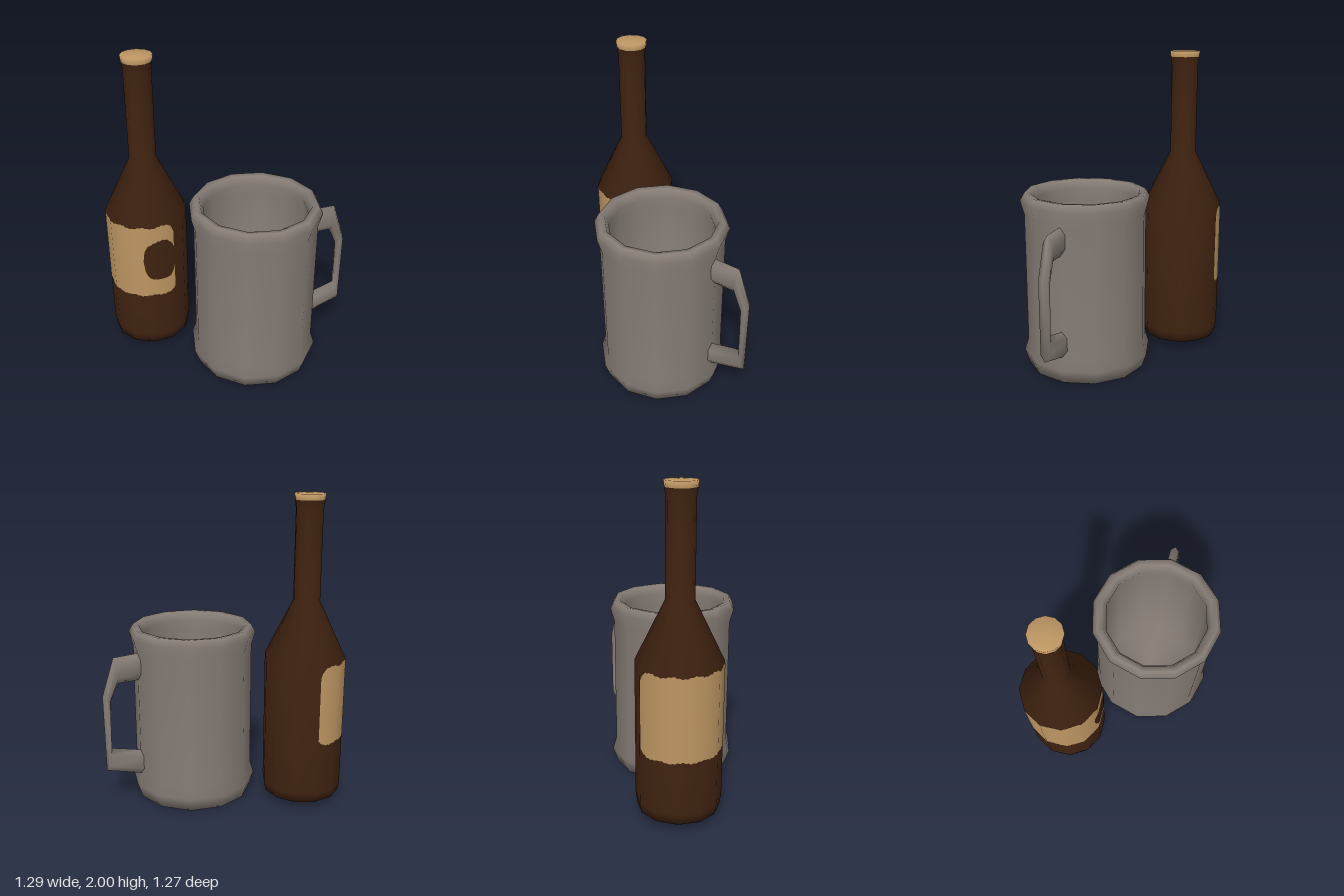
import * as THREE from 'three';

const SIDES = 12;
const BOTTLE_R = 0.26;
const rad = THREE.MathUtils.degToRad;

const lathe = (points) =>
  new THREE.LatheGeometry(points.map(([r, y]) => new THREE.Vector2(r, y)), SIDES);

function addMesh(parent, name, geometry, material) {
  const mesh = new THREE.Mesh(geometry, material);
  mesh.name = name;
  parent.add(mesh);
  return mesh;
}

function indexed(positions, index) {
  const g = new THREE.BufferGeometry();
  g.setAttribute('position', new THREE.Float32BufferAttribute(positions, 3));
  g.setIndex(index);
  return g;
}

// Thin strip wrapped on the twelve-sided bottle wall between two angles (degrees)
function wrap(a0, a1, bottom, top, lift) {
  const pos = [], nor = [], idx = [];
  for (let a = a0, i = 0; a <= a1; a += 2, i += 2) {
    const r = BOTTLE_R * Math.cos(rad(15)) / Math.cos(rad((a % 30) - 15)) + lift;
    const c = Math.cos(rad(a)), s = Math.sin(rad(a));
    for (const y of [bottom(a), top(a)]) {
      pos.push(r * c, y, r * s);
      nor.push(c, 0, s);
    }
    if (a < a1) idx.push(i, i + 1, i + 2, i + 1, i + 3, i + 2);
  }
  const g = indexed(pos, idx);
  g.setAttribute('normal', new THREE.Float32BufferAttribute(nor, 3));
  return g;
}

// Six-sided tube lofted through pairs of [outer, inner] points, each [radius, y]
function handleGeometry(sections, w) {
  const ring = [[0, 0], [0.25, w], [0.75, w], [1, 0], [0.75, -w], [0.25, -w]];
  const pos = [], idx = [];
  sections.forEach(([o, n], i) => {
    ring.forEach(([s, t], j) => {
      pos.push(o[0] + (n[0] - o[0]) * s, o[1] + (n[1] - o[1]) * s, t);
      if (i === sections.length - 1) return;
      const a = i * 6 + j, b = i * 6 + (j + 1) % 6;
      idx.push(a, b, a + 6, b, b + 6, a + 6);
    });
  });
  const g = indexed(pos, idx);
  g.computeVertexNormals();
  return g;
}

export function createModel() {
  const model = new THREE.Group();
  const make = (name, color) => new THREE.MeshStandardMaterial({ name, color });
  const pewter = make('pewter grey', 0x857c75);
  const glass = make('brown glass', 0x3f2210);
  const paper = make('tan paper and cork', 0xbc9562);

  // Mug, turned so its handle points slightly forward
  const mug = new THREE.Group();
  mug.name = 'mug';
  mug.position.set(0.028, 0, 0.24);
  mug.rotation.y = rad(-16);
  model.add(mug);
  addMesh(mug, 'mugBody', lathe([
    [0, 0], [0.385, 0], [0.415, 0.09], [0.39, 0.17], [0.39, 1.01],
    [0.415, 1.1], [0.387, 1.15], [0.35, 1.145], [0.327, 1.09], [0.34, 1.01],
    [0.335, 0.08], [0, 0.08],
  ]), pewter);
  addMesh(mug, 'mugHandle', handleGeometry([
    [[0.36, 1.01], [0.36, 0.83]],
    [[0.555, 1.005], [0.53, 0.83]],
    [[0.637, 0.76], [0.582, 0.72]],
    [[0.63, 0.25], [0.592, 0.4]],
    [[0.36, 0.165], [0.36, 0.335]],
  ], 0.03), pewter);

  // Bottle
  const bottle = new THREE.Group();
  bottle.name = 'bottle';
  bottle.position.set(-0.39, 0, -0.37);
  model.add(bottle);
  addMesh(bottle, 'bottleGlass', lathe([
    [0, 0.055], [0.25, 0.055], [BOTTLE_R, 0.12], [BOTTLE_R, 0.98],
    [0.085, 1.34], [0.085, 1.91], [0.093, 1.962],
  ]), glass);
  addMesh(bottle, 'cork', lathe([[0.093, 1.962], [0.097, 2], [0, 2]]), paper);

  // Worn label with rounded ends and uneven edges
  const worn = (a) => 0.006 * Math.sin(a * 0.21) + 0.003 * Math.sin(a * 0.9);
  const round = (a) => {
    const d = Math.max(0, 1 - Math.min(a - 80, 298 - a) / 10);
    return 0.06 * d * d;
  };
  addMesh(bottle, 'label', wrap(80, 298,
    (a) => 0.45 + worn(a + 40) + round(a) * 0.4,
    (a) => 0.965 + worn(a) - round(a), 0.002), paper);

  // Plain dark patch on the label
  const half = (a) => 0.145 * Math.pow(Math.max(0, 1 - Math.pow(Math.abs(a - 103) / 25, 3)), 0.5);
  addMesh(bottle, 'labelPatch', wrap(78, 128,
    (a) => 0.715 - half(a), (a) => 0.715 + half(a) + worn(a), 0.004), glass);

  return model;
}
